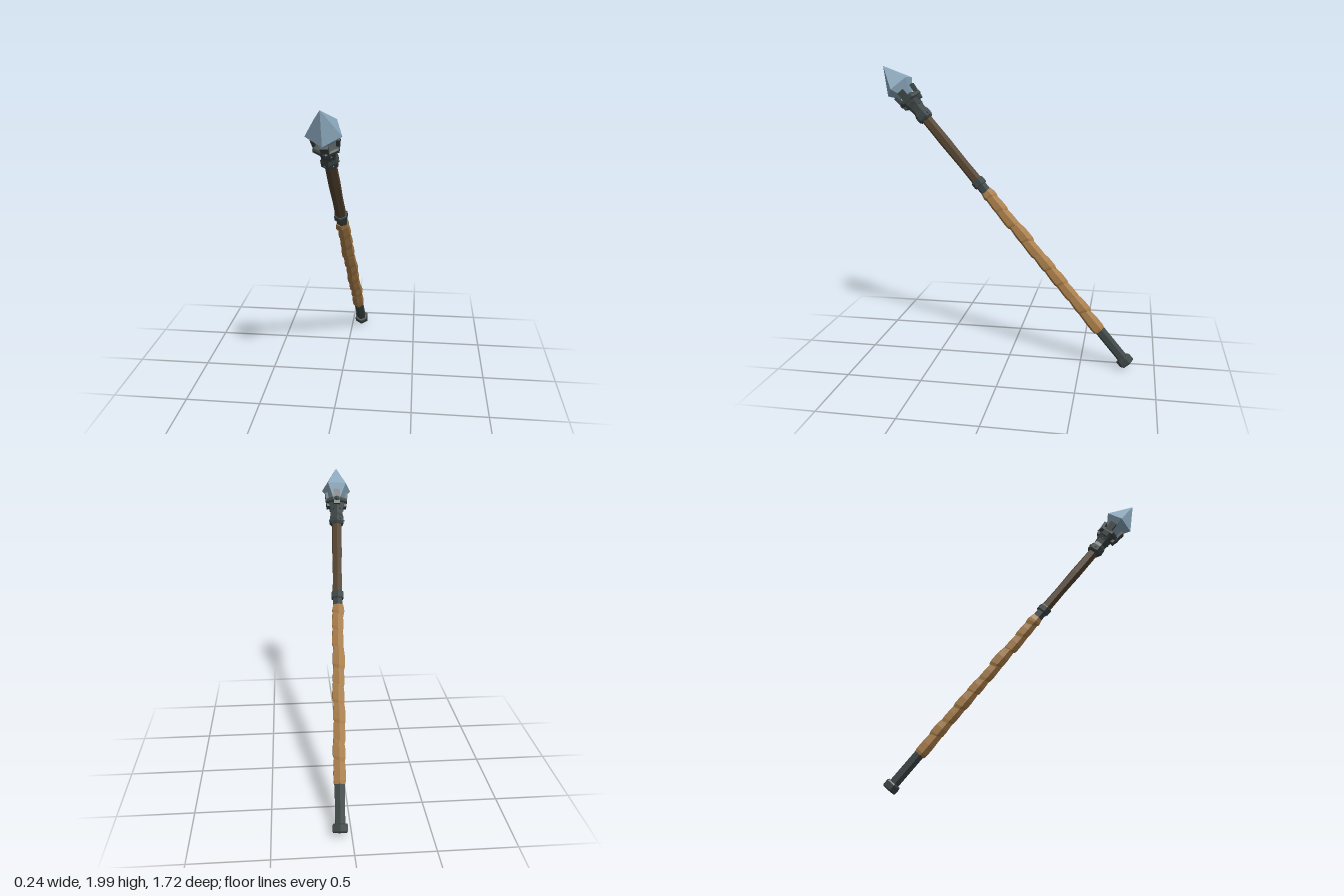
import * as THREE from 'three';

const material = (name, color) => {
  const m = new THREE.MeshStandardMaterial({ color });
  m.name = name;
  return m;
};

export function createModel() {
  const metal = material('dark iron', 0x3c4544);
  const wood = material('dark wood', 0x54432f);
  const leather = material('tan leather', 0xa87d49);
  const crystalBlue = material('pale blue crystal', 0x8ba8bc);

  const staff = new THREE.Group();
  staff.name = 'staff';

  // Faceted mesh in the staff's own frame, where y runs along the shaft
  const add = (name, geometry, mat, parent = staff) => {
    const g = geometry.index ? geometry.toNonIndexed() : geometry;
    g.computeVertexNormals();
    const mesh = new THREE.Mesh(g, mat);
    mesh.name = name;
    parent.add(mesh);
    return mesh;
  };

  // Closed faceted turning from [radius, height] pairs
  const turned = (profile, sides = 6) => new THREE.LatheGeometry(
    [[0, profile[0][1]], ...profile, [0, profile[profile.length - 1][1]]]
      .map(([r, y]) => new THREE.Vector2(r, y)), sides);

  // Pommel and lower sleeve
  add('pommel', turned([[0.048, 0], [0.054, 0.008], [0.054, 0.046], [0.047, 0.055]]), metal);
  add('lowerSleeve', turned([[0.036, 0.05], [0.036, 0.31]]), metal);

  // Leather grip: overlapping wraps with slanted, slightly shifted ends
  const seams = [0.295, 0.45, 0.57, 0.69, 0.82, 0.94, 1.06, 1.2, 1.33, 1.44, 1.495];
  const grip = new THREE.Group();
  grip.name = 'grip';
  staff.add(grip);
  for (let i = 0; i < seams.length - 1; i++) {
    const y0 = seams[i], y1 = seams[i + 1] + 0.012, mid = (y0 + y1) / 2;
    const wide = 0.045 + 0.002 * Math.sin(i * 2.3);
    const g = turned([[0.040, y0], [wide, y0 + 0.02], [wide, mid], [0.039, y1]]);
    const p = g.attributes.position;
    for (let k = 0; k < p.count; k++) {
      const x = p.getX(k), y = p.getY(k), z = p.getZ(k);
      const end = Math.abs(y - mid) / (y1 - y0) * 2;
      const inner = i > 0 && y < mid || i < seams.length - 2 && y > mid;
      const slant = inner ? (x * 0.35 + z * 0.3) * end : 0;
      p.setXYZ(k, x + 0.003 * Math.sin(i * 1.9), y + slant, z + 0.003 * Math.cos(i * 2.6));
    }
    add('gripWrap', g, leather, grip);
  }

  // Middle sleeve, collar and bare shaft
  add('middleSleeve', turned([[0.036, 1.48], [0.036, 1.57]]), metal);
  add('middleCollar', turned([[0.042, 1.555], [0.047, 1.563], [0.047, 1.598], [0.042, 1.606]]), metal);
  add('shaft', turned([[0.037, 1.59], [0.035, 1.75], [0.038, 1.93], [0.036, 2.16]]), wood);

  // Flared head socket and its rim
  add('headSocket', turned([[0.042, 2.125], [0.056, 2.142], [0.056, 2.178],
    [0.046, 2.205], [0.05, 2.24], [0.068, 2.295], [0.06, 2.315]]), metal);
  add('socketRim', turned([[0.076, 2.286], [0.086, 2.293], [0.086, 2.313], [0.074, 2.32]]), metal);

  // Rivets on each socket face
  for (let i = 0; i < 6; i++) {
    const a = (i + 0.5) * Math.PI / 3;
    for (const [y, r] of [[2.16, 0.049], [2.242, 0.045]]) {
      const rivet = add('rivet', new THREE.CylinderGeometry(0.006, 0.009, 0.012, 6), metal);
      rivet.position.set(Math.sin(a) * r, y, Math.cos(a) * r);
      rivet.rotation.set(Math.PI / 2, 0, -a, 'ZXY');
      rivet.quaternion.setFromUnitVectors(new THREE.Vector3(0, 1, 0),
        new THREE.Vector3(Math.sin(a), 0, Math.cos(a)));
    }
  }

  // Four prongs holding the crystal
  for (let i = 0; i < 4; i++) {
    const pivot = new THREE.Group();
    pivot.name = 'prong';
    pivot.rotation.y = i * Math.PI / 2;
    const prong = add('prongBar', new THREE.BoxGeometry(0.046, 0.11, 0.02), metal, pivot);
    prong.position.set(0, 2.318, 0.066);
    prong.rotation.x = 0.12;
    staff.add(pivot);
  }

  // Five-sided crystal
  add('crystal', turned([[0.045, 2.335], [0.108, 2.418], [0.001, 2.588]], 5), crystalBlue);

  // Lean the staff forward, from its pommel up to the crystal tip
  const along = new THREE.Vector3(-0.1, 1.963, 1.684).normalize();
  const side = new THREE.Vector3(1, 0, 0).addScaledVector(along, -along.x).normalize();
  const under = new THREE.Vector3().crossVectors(side, along);
  staff.quaternion.setFromRotationMatrix(new THREE.Matrix4().makeBasis(side, along, under));
  staff.position.set(0.073, 0.037, -0.82);

  const model = new THREE.Group();
  model.name = 'crystalStaff';
  model.add(staff);
  return model;
}
